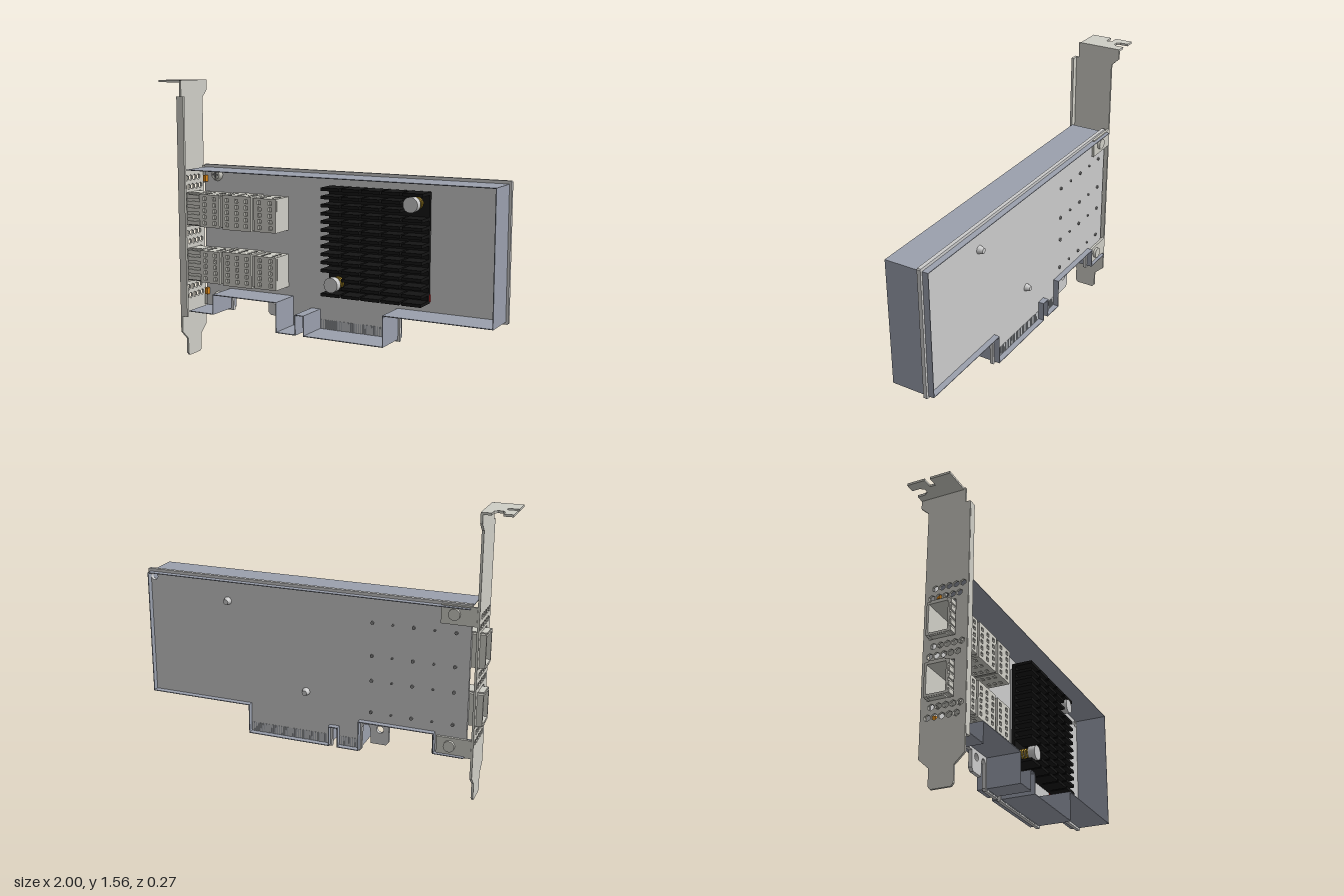
import * as THREE from 'three';
import { mergeGeometries } from 'three/addons/utils/BufferGeometryUtils.js';

const mat = (color) => new THREE.MeshStandardMaterial({ color });
const grey = mat(0xcccccc), metal = mat(0xcfcec6), wallBlue = mat(0x9ba0ad);
const black = mat(0x141414), gold = mat(0xc9a227), orange = mat(0xe08a1a), red = mat(0xc02020);
wallBlue.side = THREE.DoubleSide;

// Box given by its min and max along each axis
const box = (x0, x1, y0, y1, z0, z1) =>
  new THREE.BoxGeometry(x1 - x0, y1 - y0, z1 - z0)
    .translate((x0 + x1) / 2, (y0 + y1) / 2, (z0 + z1) / 2);
// Cylinder along z
const disc = (x, y, z0, z1, r, n = 24, r2 = r) =>
  new THREE.CylinderGeometry(r2, r, z1 - z0, n).rotateX(Math.PI / 2).translate(x, y, (z0 + z1) / 2);
const shapeOf = (pts) => new THREE.Shape(pts.map(([x, y]) => new THREE.Vector2(x, y)));
const pathOf = (pts) => new THREE.Path(pts.map(([x, y]) => new THREE.Vector2(x, y)));
const rect = (x0, x1, y0, y1) => [[x0, y0], [x1, y0], [x1, y1], [x0, y1]];
const ngon = (x, y, r, n) => Array.from({ length: n }, (_, i) => {
  const a = (i / n) * Math.PI * 2 + Math.PI / 2;
  return [x + r * Math.cos(a), y + r * Math.sin(a)];
});
// Flat plate with holes, extruded along z
function plate(outline, holes, depth) {
  const s = shapeOf(outline);
  s.holes = holes.map(pathOf);
  return new THREE.ExtrudeGeometry(s, { depth, bevelEnabled: false });
}
// Plate drawn in (z, y), extruded from xMax toward -x
const sidePlate = (outline, holes, depth, xMax) =>
  plate(outline, holes, depth).rotateY(-Math.PI / 2).translate(xMax, 0, 0);

const Z0 = -0.085, Z1 = -0.065; // board back and front
const cageRows = [[0.743, 0.935], [0.428, 0.618]];
const mounts = [1.03, 0.32];
const pins = [[0.517, 0.952], [0.067, 0.497]];

export function createModel() {
  const model = new THREE.Group();
  const add = (name, geos, material) => {
    const list = [].concat(geos).map((g) => (g.index ? g.toNonIndexed() : g));
    const m = new THREE.Mesh(list.length > 1 ? mergeGeometries(list) : list[0], material);
    m.name = name;
    model.add(m);
  };

  // Circuit board with edge connector, key slot and retention tab
  add('circuitBoard', plate([
    [-0.815, 1.085], [-0.815, 0.257], [-0.635, 0.257], [-0.635, 0.365], [-0.4, 0.365], [-0.4, 0.275],
    [-0.385, 0.257], [-0.3, 0.257], [-0.297, 0.34], [-0.287, 0.36], [-0.265, 0.36], [-0.252, 0.34],
    [-0.25, 0.215], [-0.24, 0.203], [-0.11, 0.203], [-0.11, 0.3], [-0.097, 0.312], [-0.083, 0.3],
    [-0.083, 0.203], [0.405, 0.203], [0.405, 0.365], [0.99, 0.365], [0.995, 0.37], [0.995, 1.08], [0.99, 1.085],
  ], [ngon(0.958, 1.043, 0.02, 20), ngon(-0.352, 0.342, 0.02, 20)], Z1 - Z0).translate(0, 0, Z0), grey);

  // Edge contacts on both faces
  const contacts = [];
  for (let x = -0.24; x < 0.395; x += 0.0125) {
    if (x > -0.125 && x < -0.07) continue;
    contacts.push(box(x, x + 0.007, 0.21, 0.27, Z1, Z1 + 0.002), box(x, x + 0.007, 0.21, 0.27, Z0 - 0.002, Z0));
  }
  add('edgeContacts', contacts, mat(0xa8acb2));

  // Thin wall following the board outline
  const wall = [
    [-0.808, 1.067], [0.98, 1.067], [0.98, 0.38], [0.392, 0.38], [0.392, 0.216], [-0.072, 0.216],
    [-0.072, 0.325], [-0.122, 0.325], [-0.122, 0.216], [-0.24, 0.216], [-0.24, 0.38],
    [-0.648, 0.38], [-0.648, 0.27], [-0.808, 0.27],
  ];
  add('perimeterWall', wall.slice(1).map(([x, y], i) => {
    const [px, py] = wall[i], t = 0.002;
    return box(Math.min(x, px) - t, Math.max(x, px) + t, Math.min(y, py) - t, Math.max(y, py) + t, -0.117, 0.122);
  }), wallBlue);

  // Bracket face plate with port cut-outs and hexagonal vents
  const vents = [];
  [[0.655, 0.705], [0.345, 0.395], [0.965, 1.015]].forEach((rows) => rows.forEach((y, r) => {
    for (let i = 0; i < 5; i++) vents.push(ngon(-0.058 + i * 0.037 + r * 0.018, y, 0.017, 6));
  }));
  const ports = cageRows.map(([a, b]) => rect(-0.065, 0.073, a, b));
  add('bracketPlate', sidePlate([
    [0.11, 1.555], [-0.137, 1.555], [-0.137, 1.5], [-0.095, 1.46], [-0.095, 0.15], [-0.042, 0.1], [-0.042, 0.015],
    [-0.03, 0], [0.073, 0], [0.085, 0.015], [0.085, 0.1], [0.137, 0.15], [0.137, 1.47], [0.11, 1.47],
  ], [...ports, ...vents], 0.012, -0.843), metal);
  add('bracketFlange', box(-0.85, -0.81, 0.24, 1.47, 0.124, 0.138), metal);

  // Bent top tab with an open screw notch and a side slot
  add('bracketTopTab', plate([
    [-0.843, 0.1], [-1, 0.1], [-1, -0.01], [-0.945, -0.01], [-0.945, -0.04], [-1, -0.04], [-1, -0.137],
    [-0.95, -0.137], [-0.95, -0.095], [-0.936, -0.075], [-0.91, -0.075], [-0.896, -0.095], [-0.896, -0.137],
    [-0.843, -0.137],
  ], [], 0.012).rotateX(Math.PI / 2).translate(0, 1.557, 0), metal);

  // Mounting tabs behind the board, with cross-head screws through them
  add('mountingTabs', mounts.flatMap((y) => [
    box(-0.843, -0.66, y - 0.055, y + 0.045, Z0 - 0.013, Z0),
    disc(-0.73, y, Z0 - 0.028, Z0 - 0.012, 0.03),
  ]), metal);
  add('mountingScrews', mounts.map((y) => disc(-0.73, y, Z1, Z1 + 0.022, 0.037, 28, 0.026)), metal);
  add('screwCrosses', mounts.flatMap((y) => [
    box(-0.75, -0.71, y - 0.005, y + 0.005, Z1 + 0.02, Z1 + 0.024),
    box(-0.735, -0.725, y - 0.02, y + 0.02, Z1 + 0.02, Z1 + 0.024),
  ]), mat(0x666666));

  // Status lights beside the bracket
  add('statusLights', [1.005, 0.355].map((y) => box(-0.81, -0.793, y - 0.018, y + 0.018, Z1, Z1 + 0.025)), orange);

  // Transceiver cages: open tube, perforated covers, spring strips, solder pins
  cageRows.forEach(([y0, y1], k) => {
    const parts = [], zt = 0.058;
    parts.push(sidePlate(rect(Z1, zt, y0 + 0.008, y1 - 0.008),
      [rect(Z1 + 0.012, zt - 0.01, y0 + 0.02, y1 - 0.02)], 0.615, -0.272));
    parts.push(box(-0.33, -0.268, y0 + 0.012, y1 - 0.012, Z1, zt - 0.002));
    // Three raised perforated covers
    [[-0.76, -0.63, 2], [-0.61, -0.425, 3], [-0.405, -0.268, 2]].forEach(([a, b, cols], block) => {
      const top = [], side = [], step = (b - a) / cols;
      for (let c = 0; c < cols; c++) {
        const x = a + step * (c + 0.5);
        for (let r = 0; r < 5; r++) {
          const y = y0 + 0.028 + r * (y1 - y0 - 0.056) / 4;
          top.push(rect(x - 0.011, x + 0.011, y - 0.01, y + 0.01));
        }
        for (let r = 0; r < 3; r++) side.push(rect(x - 0.011, x + 0.011, r * 0.033 - 0.038, r * 0.033 - 0.02));
      }
      const e = block === 1 ? 0 : 0.004;
      parts.push(plate(rect(a, b, y0 + e, y1 - e), top, 0.014).translate(0, 0, zt));
      const flank = plate(rect(a, b, Z1, zt), side, 0.008).rotateX(Math.PI / 2);
      parts.push(flank.clone().translate(0, y0 + 0.008 + e, 0), flank.translate(0, y1 - e, 0));
    });
    // Spring strips around the mouth
    for (let i = 0; i < 5; i++) {
      const y = y0 + 0.022 + i * (y1 - y0 - 0.044) / 4;
      parts.push(box(-0.885, -0.765, y - 0.011, y + 0.011, zt, zt + 0.008));
    }
    parts.push(box(-0.885, -0.765, y0 + 0.001, y0 + 0.008, -0.045, 0.04));
    parts.push(box(-0.885, -0.765, y1 - 0.008, y1 - 0.001, -0.045, 0.04));
    add(k ? 'lowerPortCage' : 'upperPortCage', parts, metal);

    const solder = [];
    for (let i = 0; i < 5; i++) for (const y of [y0 + 0.006, y1 - 0.006])
      solder.push(disc(-0.74 + i * 0.11, y, Z0 - 0.008, Z0, i % 2 ? 0.006 : 0.009, 10));
    add(k ? 'lowerCagePins' : 'upperCagePins', solder, mat(0x888888));
  });

  // Heat sink: chip, base and five columns of stacked fins
  add('chip', box(0.03, 0.572, 0.45, 0.995, Z1, -0.045), grey);
  add('chipMarker', box(0.535, 0.576, 0.437, 0.475, Z1, -0.04), red);
  const fins = [box(0.005, 0.58, 0.433, 1.01, -0.045, -0.025)];
  const rows = 14, cols = 5, pitchY = 0.577 / rows, pitchX = 0.575 / cols;
  for (let r = 0; r < rows; r++) {
    const y = 0.433 + r * (0.577 - 0.016) / (rows - 1);
    for (let c = 0; c < cols; c++) {
      let a = 0.005 + c * pitchX + (c ? 0.006 : 0), b = 0.005 + (c + 1) * pitchX - (c < cols - 1 ? 0.006 : 0);
      // Leave room around the push pins
      for (const [px, py] of pins) {
        if (Math.abs(py - y - 0.008) > 0.05) continue;
        if (a < px + 0.05 && b > px - 0.05) {
          if (px > 0.3) b = Math.min(b, px - 0.05); else a = Math.max(a, px + 0.05);
        }
      }
      if (b - a > 0.01) fins.push(box(a, b, y, y + pitchY * 0.4, -0.03, 0.07));
    }
  }
  add('heatSink', fins, black);

  // Push pins with springs; their tips show behind the board
  add('pushPins', pins.flatMap(([x, y]) => [
    disc(x, y, 0.035, 0.075, 0.04, 32), disc(x, y, Z0 - 0.01, 0.04, 0.014, 16),
    disc(x, y, Z0 - 0.028, Z0, 0.014, 16, 0.022),
  ]), grey);
  add('pinSprings', pins.flatMap(([x, y]) => [0, 1, 2, 3].map((i) =>
    new THREE.TorusGeometry(0.027, 0.005, 8, 24).translate(x, y, -0.018 + i * 0.015))), gold);

  return model;
}
